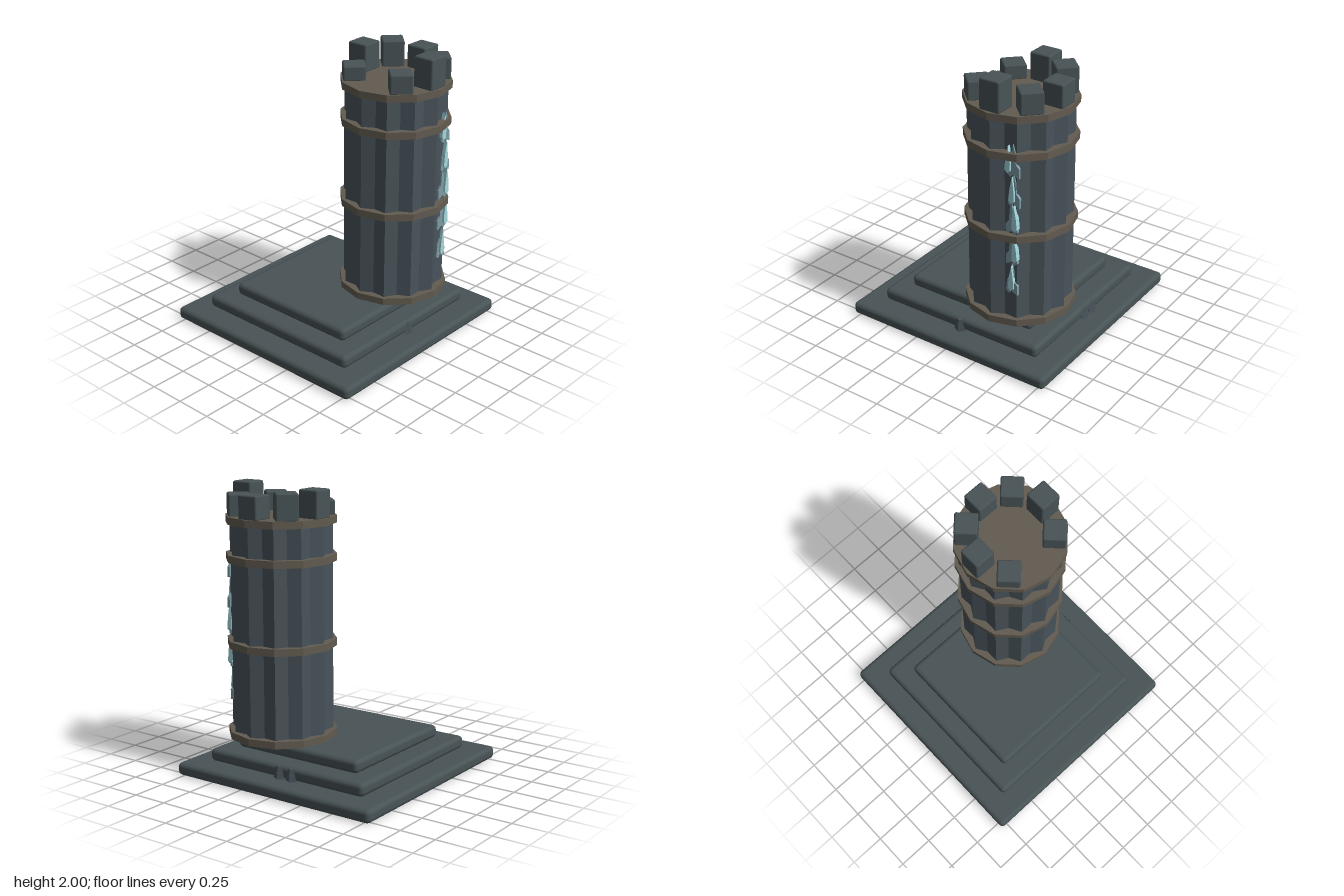
import * as THREE from 'three';
import { RoundedBoxGeometry } from 'three/addons/geometries/RoundedBoxGeometry.js';

const material = (name, color, flat) =>
  Object.assign(new THREE.MeshStandardMaterial({ color }), { name, flatShading: flat });

export function createModel() {
  const model = new THREE.Group();
  model.name = 'ruinedTower';
  const stone = material('dark stone', 0x485356, false);
  const columnStone = material('column stone', 0x48535a, true);
  const bronze = material('weathered bronze', 0x625b50, true);
  const crystal = material('pale crystal', 0xa4d8df, true);
  const crystalShade = material('dull crystal', 0x7f9ca4, true);
  const CX = 0.275, CZ = 0.28;

  const add = (name, geometry, mat, x = 0, y = 0, z = 0, parent = model) => {
    const mesh = new THREE.Mesh(geometry, mat);
    mesh.name = name;
    mesh.position.set(x, y, z);
    parent.add(mesh);
    return mesh;
  };

  // Stepped plinth
  [[1.6, 0.045], [1.275, 0.135], [1.0, 0.225]].forEach(([size, y], i) =>
    add('plinthStep' + (i + 1), new RoundedBoxGeometry(size, 0.09, size, 2, 0.032), stone, 0, y, 0));

  const tower = new THREE.Group();
  tower.name = 'tower';
  tower.position.set(CX, 0, CZ);
  model.add(tower);

  // Fluted column: twelve ridges with valleys between
  const star = new THREE.Shape();
  for (let i = 0; i < 24; i++) {
    const a = i * Math.PI / 12, r = i % 2 ? 0.312 : 0.35;
    star[i ? 'lineTo' : 'moveTo'](Math.cos(a) * r, Math.sin(a) * r);
  }
  const columnGeo = new THREE.ExtrudeGeometry(star, { depth: 1.5, bevelEnabled: false });
  columnGeo.rotateX(-Math.PI / 2);
  add('column', columnGeo, columnStone, 0, 0.27, 0, tower);

  // Bronze bands, the highest one closing the top
  [0.292, 0.926, 1.51, 1.766].forEach((y, i) =>
    add('band' + (i + 1), new THREE.CylinderGeometry(0.377, 0.377, 0.05, 12), bronze, 0, y, 0, tower));

  // Battlement blocks: angle in degrees from +x towards +z, top height
  [[0, 1.95], [45, 1.94], [90, 2.0], [135, 1.92], [225, 1.89], [270, 1.98], [315, 1.97]].forEach(([deg, top], i) => {
    const a = THREE.MathUtils.degToRad(deg), h = top - 1.785;
    const block = add('battlement' + (i + 1), new RoundedBoxGeometry(0.152, h, 0.152, 1, 0.012), stone,
      Math.cos(a) * 0.28, 1.785 + h / 2, Math.sin(a) * 0.28, tower);
    block.rotation.y = -a;
  });

  // Jagged crystal seam: each shard is a ragged plate with a brighter ridge
  const shard = (points, depth) => {
    const shape = new THREE.Shape(points.map(([x, y]) => new THREE.Vector2(x, y)));
    return new THREE.ExtrudeGeometry(shape, { depth, bevelEnabled: false });
  };
  const outline = [[-0.045, 0.02], [-0.02, 0.0], [-0.005, 0.025], [0.045, 0.0], [0.045, 0.07],
    [0.02, 0.1], [0.015, 0.18], [0.0, 0.23], [-0.012, 0.15], [-0.035, 0.1]];
  const ridge = [[-0.02, 0.05], [0.0, 0.03], [0.02, 0.045], [0.022, 0.1], [0.006, 0.22], [-0.012, 0.13]];
  // x, y, mirror, and x shift of the ridge
  [[0.425, 1.36, 1, -0.035], [0.43, 1.15, 1, -0.01], [0.415, 0.95, -1, 0.03],
    [0.415, 0.72, -1, 0.03], [0.415, 0.5, 1, 0]].forEach(([x, y, side, shift], i) => {
    const group = new THREE.Group();
    group.name = 'crystalShard' + (i + 1);
    group.position.set(x, y, 0.572);
    model.add(group);
    const flip = pts => side > 0 ? pts : pts.map(([px, py]) => [-px, py]).reverse();
    add('shardPlate', shard(flip(outline), 0.02), crystalShade, 0, 0, 0, group);
    add('shardRidge', shard(flip(ridge), 0.035), crystal, shift, 0, 0, group);
  });

  // Small stone splinters leaning on the second step
  [[0.02, 0.64, 0], [0.64, 0.03, 1], [0.64, -0.07, 1]].forEach(([x, z, turned], i) => {
    const rock = add('splinter' + (i + 1), new THREE.CylinderGeometry(0.022, 0.045, 0.09, 4),
      columnStone, x, 0.13, z);
    rock.scale.set(turned ? 0.6 : 1.05, 1, turned ? 1.05 : 0.6);
  });

  return model;
}
